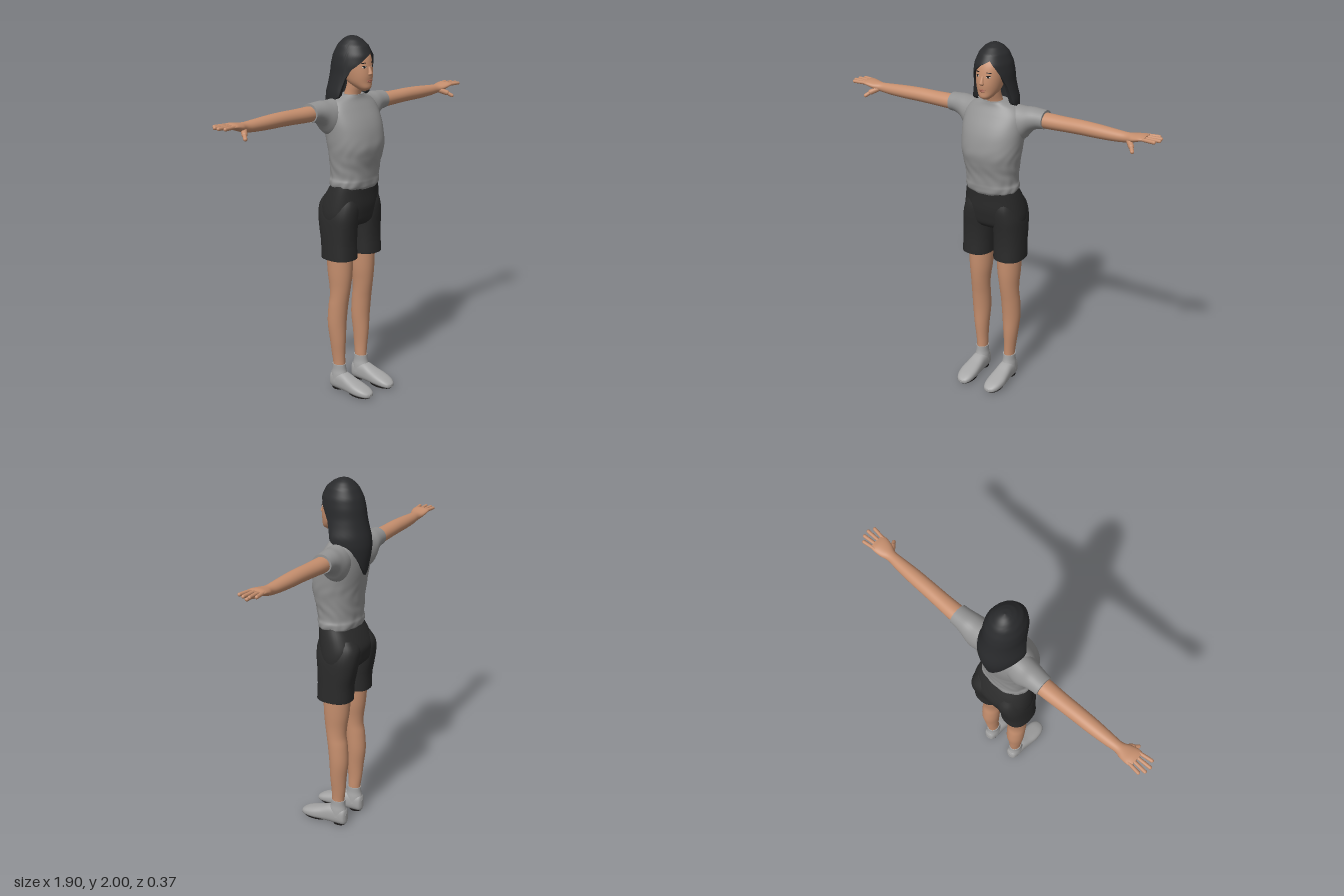
import * as THREE from 'three';

const mat = (name, color, side = THREE.FrontSide) => {
  const m = new THREE.MeshStandardMaterial({ color, side });
  m.name = name;
  return m;
};

// Smooth skin over rows of points, each row a closed loop running anticlockwise seen from the end
function skin(rows) {
  const n = rows[0].length, index = [];
  for (let i = 0; i < rows.length - 1; i++) {
    for (let j = 0; j < n; j++) {
      const a = i * n + j, b = i * n + (j + 1) % n, c = a + n, d = b + n;
      index.push(a, b, d, a, d, c);
    }
  }
  const geo = new THREE.BufferGeometry();
  geo.setAttribute('position', new THREE.Float32BufferAttribute(rows.flat(2), 3));
  geo.setIndex(index);
  geo.computeVertexNormals();
  return geo;
}

// Capped loft through rings [y, x, z, rx, rz] with ascending y; p squares off the section
function loft(rings, { p = 2, seg = 32, sub = 4, fold = null } = {}) {
  const curve = new THREE.CubicInterpolant(rings.map((_, i) => i), rings.flat(), 5);
  const count = (rings.length - 1) * sub;
  const row = ([y, x, z, rx, rz], k = 1) => Array.from({ length: seg }, (_, j) => {
    const a = j / seg * Math.PI * 2, s = Math.sin(a), c = Math.cos(a);
    const f = k * (fold ? fold(a, y) : 1);
    return [x + f * rx * Math.sign(s) * Math.abs(s) ** (2 / p), y, z + f * rz * Math.sign(c) * Math.abs(c) ** (2 / p)];
  });
  const rows = [];
  for (let i = 0; i <= count; i++) rows.push(row(Array.from(curve.evaluate(i / sub))));
  const first = rings[0], last = rings[rings.length - 1];
  return skin([row(first, 0), row(first), ...rows, row(last), row(last, 0)]);
}

// Loft along x with rings [x, y, z, ry, rz], and along z with rings [z, x, y, rx, ry]
const loftX = (rings, o) => loft(rings.map(([x, y, z, ry, rz]) => [x, -y, z, ry, rz]), o).rotateZ(-Math.PI / 2);
const loftZ = (rings, o) => loft(rings.map(([z, x, y, rx, ry]) => [z, x, -y, rx, ry]), o).rotateX(Math.PI / 2);

// Rounded rod between two points
function rod(from, to, r) {
  const a = new THREE.Vector3(...from), b = new THREE.Vector3(...to), d = b.clone().sub(a);
  const geo = new THREE.CapsuleGeometry(r, d.length(), 5, 12);
  geo.applyQuaternion(new THREE.Quaternion().setFromUnitVectors(new THREE.Vector3(0, 1, 0), d.normalize()));
  return geo.translate(...a.add(b).multiplyScalar(0.5).toArray());
}

function blob(x, y, z, rx, ry, rz, turn = 0, tilt = 0) {
  return new THREE.SphereGeometry(1, 16, 10).scale(rx, ry, rz).rotateZ(tilt).rotateY(turn).translate(x, y, z);
}

function mirrored(geo) {
  const g = geo.clone().scale(-1, 1, 1), ix = g.index.array;
  for (let i = 0; i < ix.length; i += 3) [ix[i], ix[i + 1]] = [ix[i + 1], ix[i]];
  return g;
}

// Linear lookup in rows [key, ...values] with ascending keys
function lookup(table, key) {
  let i = 0;
  while (i < table.length - 2 && table[i + 1][0] < key) i++;
  const t = THREE.MathUtils.clamp((key - table[i][0]) / (table[i + 1][0] - table[i][0]), 0, 1);
  return table[i].slice(1).map((v, k) => THREE.MathUtils.lerp(v, table[i + 1][k + 1], t));
}

// Strands run from the crown to a hem whose height varies round the head
function hairGeometry() {
  const shape = [ // y, half width, front z, back z
    [1.48, 0.09, -0.02, -0.158], [1.6, 0.115, 0, -0.18], [1.65, 0.127, 0.03, -0.184], [1.7, 0.128, 0.05, -0.178],
    [1.75, 0.116, 0.07, -0.165], [1.8, 0.107, 0.09, -0.155], [1.85, 0.104, 0.1, -0.148], [1.9, 0.096, 0.095, -0.135],
    [1.95, 0.076, 0.067, -0.108], [1.98, 0.049, 0.03, -0.078], [1.994, 0.026, 0, -0.055], [2, 0, -0.03, -0.03]];
  const hem = [ // angle from the front, hem height
    [-3.15, 1.49], [-2.8, 1.53], [-2.3, 1.62], [-1.57, 1.675], [-1.32, 1.69], [-1.2, 1.78], [-0.95, 1.83],
    [-0.6, 1.862], [-0.2, 1.895], [0.4, 1.925], [0.7, 1.885], [0.95, 1.84], [1.2, 1.78], [1.32, 1.69],
    [1.57, 1.675], [2.3, 1.62], [2.8, 1.53], [3.15, 1.49]];
  const seg = 80, steps = 30, zc = -0.03;
  const row = (t, k = 1) => Array.from({ length: seg }, (_, j) => {
    const a = (j / seg) * Math.PI * 2 - Math.PI, s = Math.sin(a), c = Math.cos(a);
    const y = 2 - (2 - lookup(hem, a)[0]) * t ** 1.7;
    const [rx, zf, zb] = lookup(shape, y);
    return [k * rx * s, y, zc + k * c * (c > 0 ? zf - zc : zc - zb)];
  });
  const rows = [row(1, 0.78), row(1)];
  for (let i = steps; i >= 0; i--) rows.push(row(i / steps));
  return skin(rows);
}

export function createModel() {
  const model = new THREE.Group();
  model.name = 'standingWoman';
  const skinTone = mat('skin', 0xc68f6e), shirt = mat('shirtGrey', 0x939393), shorts = mat('shortsBlack', 0x2a2a2a);
  const hair = mat('hairBlack', 0x292a2c, THREE.DoubleSide), shoe = mat('shoeGrey', 0xa6a6a6);
  const dark = mat('darkDetail', 0x1c1a1a), lip = mat('lips', 0xa0604f), white = mat('eyeWhite', 0xd8d0c8);

  const add = (name, geo, material) => {
    const m = new THREE.Mesh(geo, material);
    m.name = name;
    model.add(m);
  };
  const pair = (name, geo, material) => {
    add('left' + name, geo, material);
    add('right' + name, mirrored(geo), material);
  };

  // Head and neck
  add('head', loft([
    [1.714, 0, 0.055, 0.015, 0.018], [1.73, 0, 0.05, 0.036, 0.044], [1.76, 0, 0.025, 0.057, 0.07],
    [1.8, 0, 0.012, 0.068, 0.086], [1.85, 0, 0, 0.075, 0.092], [1.9, 0, -0.015, 0.077, 0.092],
    [1.95, 0, -0.03, 0.058, 0.07], [1.98, 0, -0.03, 0.03, 0.035]], { p: 2.15 }), skinTone);
  add('neck', loft([[1.64, 0, -0.035, 0.056, 0.046], [1.69, 0, -0.026, 0.045, 0.046],
    [1.73, 0, -0.012, 0.042, 0.045], [1.78, 0, 0, 0.042, 0.045]]), skinTone);
  add('hair', hairGeometry(), hair);

  // Face
  add('nose', loft([[1.797, 0, 0.096, 0.009, 0.006], [1.805, 0, 0.098, 0.014, 0.014],
    [1.815, 0, 0.097, 0.011, 0.014], [1.845, 0, 0.09, 0.007, 0.007]], { seg: 16 }), skinTone);
  add('upperLip', blob(0, 1.771, 0.095, 0.02, 0.004, 0.006), lip);
  add('lowerLip', blob(0, 1.764, 0.0945, 0.016, 0.005, 0.006), lip);
  pair('Eye', blob(0.032, 1.842, 0.0845, 0.013, 0.005, 0.003, 0.4), white);
  pair('Iris', blob(0.032, 1.842, 0.0865, 0.006, 0.005, 0.0025, 0.4), dark);
  pair('Eyelid', blob(0.032, 1.847, 0.085, 0.014, 0.002, 0.003, 0.4), dark);
  pair('Eyebrow', blob(0.034, 1.863, 0.081, 0.016, 0.0025, 0.003, 0.4, -0.08), dark);

  // Shirt, with soft folds that fade towards the chest
  const fold = (a, y) => 1 + 0.022 * THREE.MathUtils.clamp((1.5 - y) / 0.25, 0, 1)
    * Math.sin(a * 9 + 3 * Math.sin(y * 24)) * Math.cos(y * 30 + 2 * Math.sin(a * 3));
  add('shirt', loft([
    [1.185, 0, -0.012, 0.136, 0.099], [1.2, 0, -0.012, 0.149, 0.107], [1.225, 0, -0.012, 0.152, 0.111],
    [1.25, 0, -0.01, 0.145, 0.11], [1.3, 0, -0.008, 0.15, 0.114], [1.36, 0, -0.003, 0.158, 0.123],
    [1.42, 0, -0.002, 0.167, 0.131], [1.5, 0, -0.015, 0.174, 0.13], [1.56, 0, -0.028, 0.177, 0.12],
    [1.62, 0, -0.043, 0.172, 0.1], [1.66, 0, -0.048, 0.14, 0.08], [1.682, 0, -0.04, 0.088, 0.065],
    [1.69, 0, -0.034, 0.07, 0.058]], { p: 2.3, seg: 72, sub: 6, fold }), shirt);
  pair('Sleeve', loftX([
    [0.07, 1.59, -0.055, 0.088, 0.07], [0.13, 1.575, -0.057, 0.098, 0.078], [0.17, 1.58, -0.06, 0.09, 0.076],
    [0.21, 1.605, -0.064, 0.067, 0.067], [0.25, 1.615, -0.066, 0.054, 0.06], [0.29, 1.616, -0.067, 0.05, 0.057]]), shirt);

  // Arms and hands, thumbs pointing forwards
  pair('Arm', loftX([
    [0.25, 1.612, -0.067, 0.041, 0.048], [0.32, 1.612, -0.067, 0.041, 0.047], [0.4, 1.613, -0.066, 0.039, 0.044],
    [0.5, 1.615, -0.064, 0.038, 0.042], [0.6, 1.614, -0.062, 0.036, 0.04], [0.7, 1.613, -0.06, 0.031, 0.034],
    [0.76, 1.615, -0.058, 0.026, 0.03], [0.8, 1.622, -0.056, 0.022, 0.043], [0.84, 1.632, -0.055, 0.017, 0.049],
    [0.868, 1.635, -0.055, 0.01, 0.046]]), skinTone);
  [[-0.091, -0.1, 0.915], [-0.068, -0.074, 0.935], [-0.044, -0.042, 0.94], [-0.021, -0.01, 0.925]].forEach(([z0, z1, x], i) =>
    pair('Finger' + (i + 1), rod([0.845, 1.634, z0], [x, 1.635, z1], 0.0095), skinTone));
  pair('ThumbBase', rod([0.778, 1.608, -0.04], [0.808, 1.592, -0.005], 0.015), skinTone);
  pair('ThumbTip', rod([0.808, 1.592, -0.005], [0.826, 1.576, 0.02], 0.0105), skinTone);

  // Shorts
  add('shortsHips', loft([
    [0.975, 0, -0.045, 0.15, 0.09], [1.0, 0, -0.046, 0.174, 0.112], [1.04, 0, -0.045, 0.179, 0.121],
    [1.09, 0, -0.042, 0.174, 0.126], [1.15, 0, -0.028, 0.163, 0.113], [1.2, 0, -0.012, 0.15, 0.099],
    [1.212, 0, -0.012, 0.145, 0.096]], { p: 2.3, seg: 48 }), shorts);
  pair('ShortsLeg', loft([
    [0.79, 0.1, -0.035, 0.085, 0.1], [0.8, 0.1, -0.035, 0.086, 0.101], [0.88, 0.099, -0.038, 0.085, 0.101],
    [0.96, 0.097, -0.044, 0.085, 0.111], [1.03, 0.093, -0.046, 0.084, 0.121], [1.09, 0.085, -0.045, 0.077, 0.122],
    [1.14, 0.08, -0.035, 0.065, 0.1]], { p: 2.4 }), shorts);

  // Legs
  pair('Leg', loft([
    [0.1, 0.092, -0.045, 0.03, 0.036], [0.16, 0.092, -0.047, 0.031, 0.037], [0.22, 0.095, -0.05, 0.034, 0.042],
    [0.3, 0.098, -0.051, 0.042, 0.048], [0.4, 0.099, -0.055, 0.051, 0.055], [0.5, 0.098, -0.047, 0.053, 0.057],
    [0.56, 0.096, -0.038, 0.053, 0.057], [0.62, 0.094, -0.035, 0.056, 0.063], [0.7, 0.092, -0.037, 0.064, 0.073],
    [0.82, 0.091, -0.04, 0.07, 0.08]]), skinTone);

  // Shoes with ankle cuffs and dark tread pads
  pair('Shoe', loftZ([
    [-0.102, 0.092, 0.045, 0.012, 0.028], [-0.09, 0.092, 0.052, 0.032, 0.049], [-0.05, 0.092, 0.056, 0.04, 0.054],
    [0, 0.092, 0.054, 0.043, 0.052], [0.05, 0.093, 0.045, 0.048, 0.042], [0.1, 0.094, 0.037, 0.052, 0.034],
    [0.15, 0.092, 0.029, 0.046, 0.025], [0.18, 0.09, 0.022, 0.03, 0.016], [0.19, 0.09, 0.02, 0.01, 0.008]], { p: 2.6 }), shoe);
  pair('AnkleCuff', loft([
    [0.05, 0.092, -0.045, 0.041, 0.055], [0.09, 0.092, -0.045, 0.039, 0.051],
    [0.12, 0.092, -0.046, 0.035, 0.043], [0.152, 0.092, -0.047, 0.035, 0.041]]), shoe);
  const pad = (z, rx, rz) => new THREE.CylinderGeometry(1, 1, 0.009, 24).scale(rx, 1, rz).translate(0.092, 0.0045, z);
  pair('ToePad', pad(0.105, 0.038, 0.072), dark);
  pair('HeelPad', pad(-0.055, 0.03, 0.036), dark);

  return model;
}
